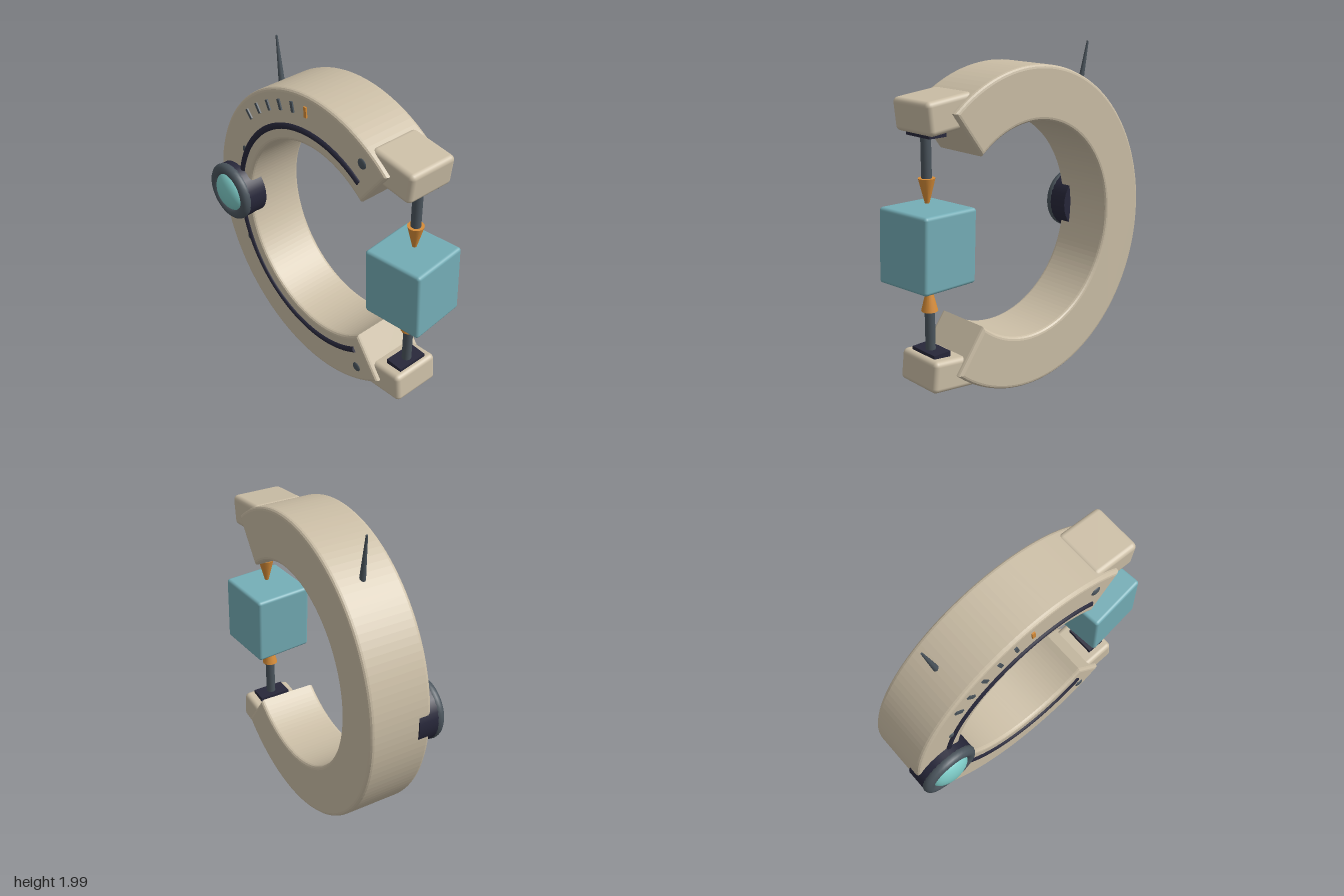
import * as THREE from 'three';
import { RoundedBoxGeometry } from 'three/addons/geometries/RoundedBoxGeometry.js';

const mat = (name, color) => {
  const m = new THREE.MeshStandardMaterial({ color });
  m.name = name;
  return m;
};

// Centre of the C-shaped frame, and its slight narrowing in x
const CX = 0.04, CY = 0.963, NARROW = 0.953;
const AXIS_X = 0.665, AXIS_Z = -0.057, FACE_Z = 0.133;

export function createModel() {
  const shell = mat('beigeShell', 0xcbbea6);
  const slate = mat('slateMetal', 0x4a545c);
  const navy = mat('darkRubber', 0x27273a);
  const copper = mat('orangeCopper', 0xd68c38);
  const teal = mat('tealBlock', 0x74adb6);
  const aqua = mat('aquaLens', 0x7dcac6);

  const model = new THREE.Group();
  model.name = 'ringClamp';
  const add = (name, geometry, material, x = 0, y = 0, z = 0, parent = model) => {
    const mesh = new THREE.Mesh(geometry, material);
    mesh.name = name;
    mesh.position.set(x, y, z);
    parent.add(mesh);
    return mesh;
  };

  // Open ring frame with bevelled edges
  const bevel = 0.022, gap = 0.91;
  const profile = new THREE.Shape();
  profile.absarc(0, 0, 0.95 - bevel, gap, Math.PI * 2 - gap, false);
  profile.absarc(0, 0, 0.635 + bevel, Math.PI * 2 - gap, gap, true);
  const frame = new THREE.ExtrudeGeometry(profile, {
    depth: 0.383 - 2 * bevel, bevelThickness: bevel, bevelSize: bevel,
    bevelSegments: 3, curveSegments: 48,
  });
  frame.scale(NARROW, 1, 1);
  add('frame', frame, shell, CX, CY, -0.25 + bevel);

  // Dark cable running along the front face
  const cablePoints = [];
  for (let i = 0; i <= 40; i++) {
    const a = 1 + (Math.PI * 2 - 2) * i / 40;
    cablePoints.push(new THREE.Vector3(Math.cos(a) * 0.725 * NARROW, Math.sin(a) * 0.725, 0));
  }
  const cable = new THREE.CatmullRomCurve3(cablePoints);
  add('cable', new THREE.TubeGeometry(cable, 80, 0.022, 8), navy, CX, CY, 0.126);
  for (const t of [0, 1]) {
    const p = cable.getPoint(t);
    const cap = add('cableEnd', new THREE.CircleGeometry(0.022, 8), navy, CX + p.x, CY + p.y, 0.126);
    cap.lookAt(cap.position.clone().addScaledVector(cable.getTangent(t), t ? 1 : -1));
  }

  // Scale marks, the last one highlighted
  for (let i = 0; i < 6; i++) {
    const a = THREE.MathUtils.degToRad(44.1 - 8.08 * i);
    const mark = add('scaleMark', new THREE.BoxGeometry(0.021, 0.064, 0.018), i === 5 ? copper : slate,
      CX - Math.sin(a) * 0.853 * NARROW, CY + Math.cos(a) * 0.853, FACE_Z);
    mark.rotation.z = a;
  }

  // Jaws and rivets, mirrored about the frame's mid height
  for (const s of [1, -1]) {
    const jaw = new THREE.Group();
    jaw.name = s > 0 ? 'upperJaw' : 'lowerJaw';
    model.add(jaw);
    const at = (d) => CY + s * d;

    const arm = add('arm', new RoundedBoxGeometry(0.31, 0.185, 0.318, 3, 0.03), shell,
      0.605, at(0.732), AXIS_Z, jaw);
    arm.rotation.z = -s * 0.11;
    add('collar', new THREE.BoxGeometry(0.115, 0.04, 0.2), navy, 0.66, at(0.627), AXIS_Z, jaw);
    add('rod', new THREE.CylinderGeometry(0.029, 0.029, 0.25, 16), slate, AXIS_X, at(0.495), AXIS_Z, jaw);
    const tip = add('tip', new THREE.CylinderGeometry(0.048, 0.013, 0.138, 16), copper,
      AXIS_X, at(0.309), AXIS_Z, jaw);
    if (s < 0) tip.rotation.x = Math.PI;

    for (const [x, d, r] of [[0.434, 0.741, 0.032], [-0.592, 0.333, 0.026]]) {
      const rivet = add('rivet', new THREE.SphereGeometry(r, 16, 10), slate, x, at(d), FACE_Z - 0.002, jaw);
      rivet.scale.z = 0.4;
    }
  }

  // Block floating between the tips
  const block = add('block', new RoundedBoxGeometry(0.382, 0.427, 0.373, 3, 0.02), teal, 0.667, 0.965, AXIS_Z);
  block.rotation.set(0, 0.1, 0.04);

  // Round lens housing on the left of the front face
  const lens = new THREE.Group();
  lens.name = 'lensUnit';
  lens.position.set(-0.693, 0.961, 0);
  model.add(lens);
  const drum = add('drum', new THREE.CylinderGeometry(0.184, 0.184, 0.14, 32), navy, 0, 0, 0.123, lens);
  drum.rotation.x = Math.PI / 2;
  add('rim', new THREE.TorusGeometry(0.153, 0.035, 12, 40), slate, 0, 0, 0.19, lens);
  const dome = add('dome', new THREE.SphereGeometry(0.128, 32, 20), aqua, 0, 0, 0.19, lens);
  dome.scale.z = 0.52;

  // Thin leaning antenna
  const foot = new THREE.Vector3(-0.481, 1.69, -0.08), top = new THREE.Vector3(-0.538, 2, -0.094);
  const dir = top.clone().sub(foot);
  const antenna = add('antenna', new THREE.CylinderGeometry(0.006, 0.02, dir.length(), 10), slate);
  antenna.position.copy(foot).add(top).multiplyScalar(0.5);
  antenna.quaternion.setFromUnitVectors(new THREE.Vector3(0, 1, 0), dir.normalize());

  return model;
}
